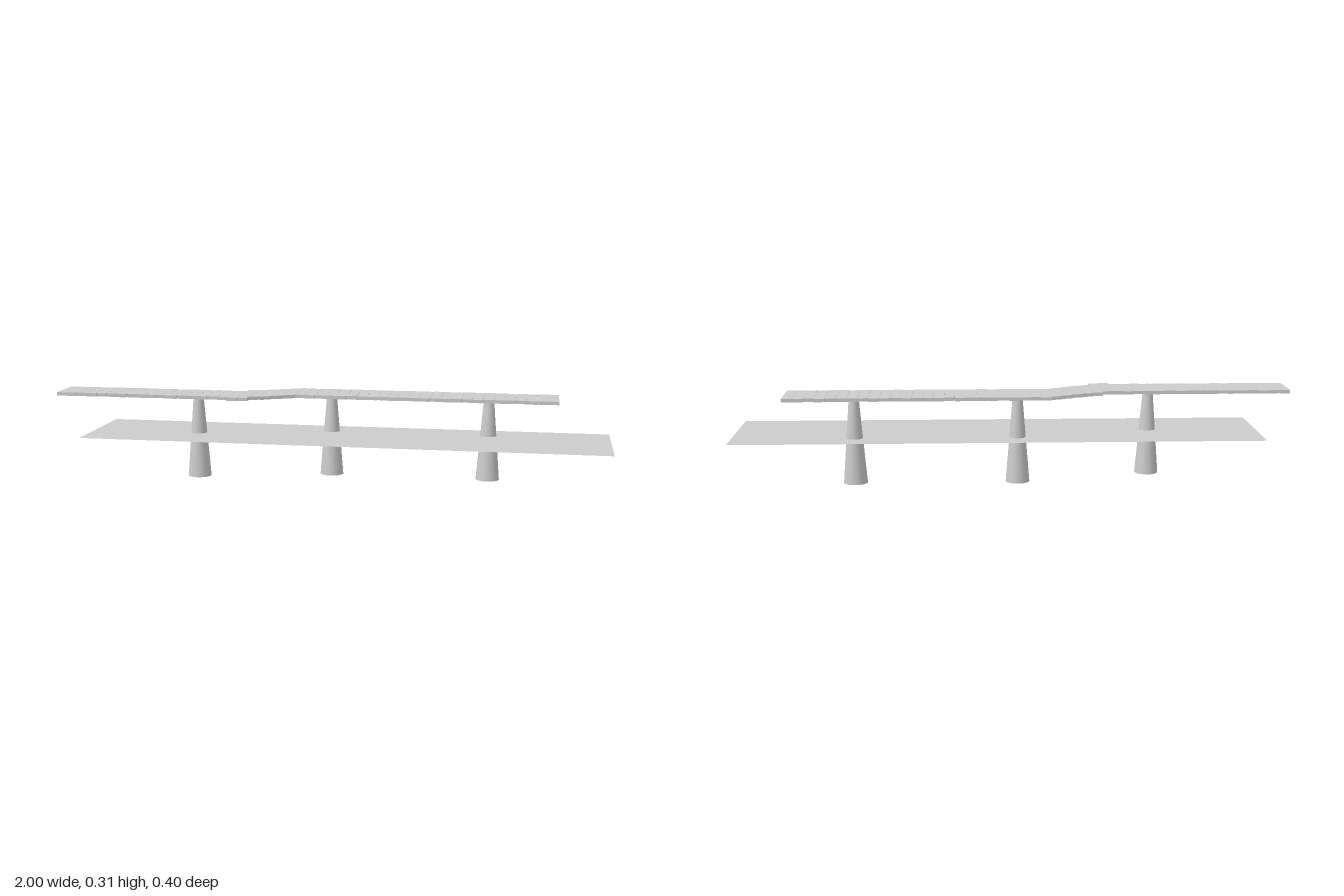
import * as THREE from 'three';

const material = new THREE.MeshStandardMaterial({ color: 0xcccccc, flatShading: true });
const smooth = new THREE.MeshStandardMaterial({ color: 0xcccccc });
const sheet = new THREE.MeshStandardMaterial({ color: 0xcccccc, side: THREE.DoubleSide });

const COUNT = 48, START = -1, PITCH = 1.814 / COUNT;
const DECK_BOTTOM = 0.3, DECK_THICK = 0.012;

// Back and front z of each plank across the bend, from plank 17 on
const BEND = [
  [-0.038, 0.122], [-0.064, 0.117], [-0.076, 0.083],
  [-0.092, 0.072], [-0.11, 0.05], [-0.127, 0.03],
];

function plankEnds(i) {
  const k = i - 17;
  if (k >= 0 && k < BEND.length) return BEND[k];
  const wobble = 0.003 * Math.sin(i * 2.4);
  return k < 0 ? [-0.038 + wobble, 0.106 + wobble] : [-0.14 + wobble, 0.017 + wobble];
}

// One plank; skew slides its right edge towards the back
function makePlank(i) {
  const [back, front] = plankEnds(i);
  const geo = new THREE.BoxGeometry(PITCH - 0.0006, DECK_THICK, front - back);
  const skew = i >= 19 && i <= 22 ? 0.018 : 0;
  const pos = geo.attributes.position;
  for (let v = 0; v < pos.count; v++) {
    // Only the front edge follows the bend, the back edge stays stepped
    const amount = pos.getZ(v) > 0 ? 1 : 0.4;
    pos.setZ(v, pos.getZ(v) - skew * amount * (pos.getX(v) / PITCH));
  }
  geo.computeVertexNormals();
  const plank = new THREE.Mesh(geo, material);
  plank.name = 'plank';
  plank.position.set(START + PITCH * (i + 0.5), DECK_BOTTOM + DECK_THICK / 2, (back + front) / 2);
  return plank;
}

export function createModel() {
  const model = new THREE.Group();
  model.name = 'boardwalk';

  // Deck of planks with a sideways bend
  const deck = new THREE.Group();
  deck.name = 'deck';
  for (let i = 0; i < COUNT; i++) deck.add(makePlank(i));
  model.add(deck);

  // Tapered round pillars under the deck
  const pillarGeo = new THREE.CylinderGeometry(0.018, 0.0425, DECK_BOTTOM, 32);
  for (const [x, z] of [[-0.49, 0.012], [-0.012, -0.1], [0.565, -0.1]]) {
    const pillar = new THREE.Mesh(pillarGeo, smooth);
    pillar.name = 'pillar';
    pillar.position.set(x, DECK_BOTTOM / 2, z);
    model.add(pillar);
  }

  // Flat water surface partway up the pillars
  const water = new THREE.Mesh(new THREE.PlaneGeometry(1.885, 0.395), sheet);
  water.name = 'waterSurface';
  water.rotation.x = -Math.PI / 2;
  water.position.set(0.0575, 0.162, 0);
  model.add(water);

  return model;
}
